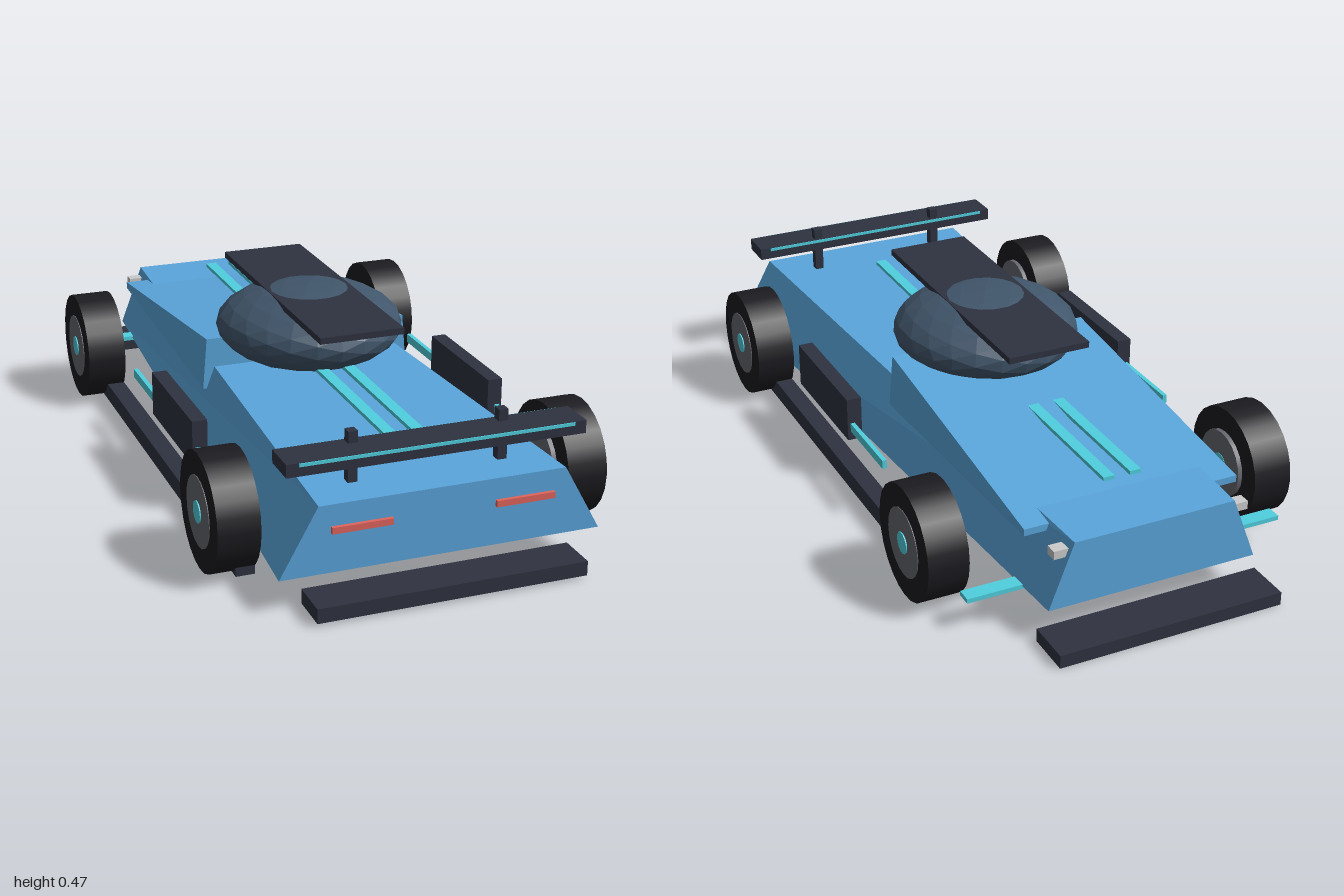
import * as THREE from 'three';

const mat = (color, extra = {}) => new THREE.MeshStandardMaterial({ color, ...extra });
const paint = mat(0x5aa6dc, { flatShading: true });
const dark = mat(0x2f3340);
const glass = mat(0x41566b, { flatShading: true });
const glow = mat(0x50d0e0);
const rubber = mat(0x1c1b20);
const rim = mat(0x66676f);
const red = mat(0xe0655c);
const lamp = mat(0xcccccc);

export function createModel() {
  const car = new THREE.Group();
  car.name = 'racingCar';

  const add = (name, geometry, material, parent = car) => {
    const mesh = new THREE.Mesh(geometry, material);
    mesh.name = name;
    parent.add(mesh);
    return mesh;
  };

  // Box given by its [min, max] range on each axis
  const box = (name, [x0, x1], [y0, y1], [z0, z1], material) => {
    const mesh = add(name, new THREE.BoxGeometry(x1 - x0, y1 - y0, z1 - z0), material);
    mesh.position.set((x0 + x1) / 2, (y0 + y1) / 2, (z0 + z1) / 2);
    return mesh;
  };

  // Box with a different trapezoid at each z end
  const taperedBox = (name, back, front, material) => {
    const g = new THREE.BoxGeometry(2, 2, 2);
    const p = g.attributes.position;
    for (let i = 0; i < p.count; i++) {
      const end = p.getZ(i) > 0 ? front : back;
      const top = p.getY(i) > 0;
      p.setXYZ(i, p.getX(i) * (top ? end.wTop : end.wBottom), top ? end.top : end.bottom, end.z);
    }
    g.computeVertexNormals();
    return add(name, g, material);
  };

  // Main hull and the raised wedge in front of the canopy
  taperedBox('hull',
    { z: -0.9, wTop: 0.215, wBottom: 0.28, top: 0.26, bottom: 0.09 },
    { z: 0.925, wTop: 0.31, wBottom: 0.405, top: 0.26, bottom: 0.09 }, paint);
  taperedBox('cowl',
    { z: -0.79, wTop: 0.29, wBottom: 0.29, top: 0.253, bottom: 0.235 },
    { z: 0.01, wTop: 0.283, wBottom: 0.295, top: 0.34, bottom: 0.2 }, paint);

  // Faceted canopy with a flat roof plate
  const canopy = add('canopy', new THREE.IcosahedronGeometry(1, 3), glass);
  canopy.scale.set(0.25, 0.108, 0.255);
  canopy.position.set(0, 0.363, 0.03);
  box('roofPlate', [-0.113, 0.113], [0.443, 0.46], [-0.35, 0.415], dark);

  // Wing and bumper blades
  box('wing', [-0.375, 0.375], [0.325, 0.358], [0.8, 0.893], dark);
  box('wingStrip', [-0.345, 0.345], [0.349, 0.357], [0.797, 0.896], glow);
  box('wingEndBlade', [-0.34, 0.34], [0.008, 0.045], [0.895, 1], dark);
  box('noseBlade', [-0.3, 0.3], [0, 0.035], [-1, -0.88], dark);

  // Parts repeated on both sides
  for (const s of [-1, 1]) {
    const side = s > 0 ? 'left' : 'right';
    const pair = (name, [a, b], y, z, material) =>
      box(side + name, s > 0 ? [a, b] : [-b, -a], y, z, material);

    pair('WingStrut', [0.178, 0.202], [0.25, 0.387], [0.805, 0.83], dark);
    pair('TailLight', [0.13, 0.28], [0.19, 0.206], [0.91, 0.935], red);
    pair('HeadLamp', [0.22, 0.262], [0.218, 0.24], [-0.887, -0.855], lamp);
    pair('TopStripe', [0.021, 0.051], [0.293, 0.303], [-0.735, 0.69], glow);
    pair('SidePod', [0.388, 0.428], [0.135, 0.255], [-0.02, 0.345], dark);
    pair('SideStrip', [0.408, 0.42], [0.16, 0.184], [-0.24, 0.352], glow);
    pair('Skirt', [0.397, 0.445], [0.016, 0.065], [-0.63, 0.735], dark);
    pair('Canard', [0.25, 0.432], [0.082, 0.094], [-0.78, -0.74], glow);

    // Wheels: tyre, rim and centre cap along the x axis
    for (const z of [0.635, -0.57]) {
      const wheel = new THREE.Group();
      wheel.name = side + (z > 0 ? 'WingEndWheel' : 'NoseWheel');
      wheel.position.set(s * 0.45, 0.15, z);
      wheel.rotation.z = -s * Math.PI / 2;
      car.add(wheel);
      add('tyre', new THREE.CylinderGeometry(0.15, 0.15, 0.106, 24), rubber, wheel);
      const hub = add('rim', new THREE.CylinderGeometry(0.09, 0.09, 0.12, 20), rim, wheel);
      hub.position.y = -0.005;
      const cap = add('cap', new THREE.CylinderGeometry(0.028, 0.028, 0.124, 14), glow, wheel);
      cap.position.y = -0.004;
    }
  }

  return car;
}
